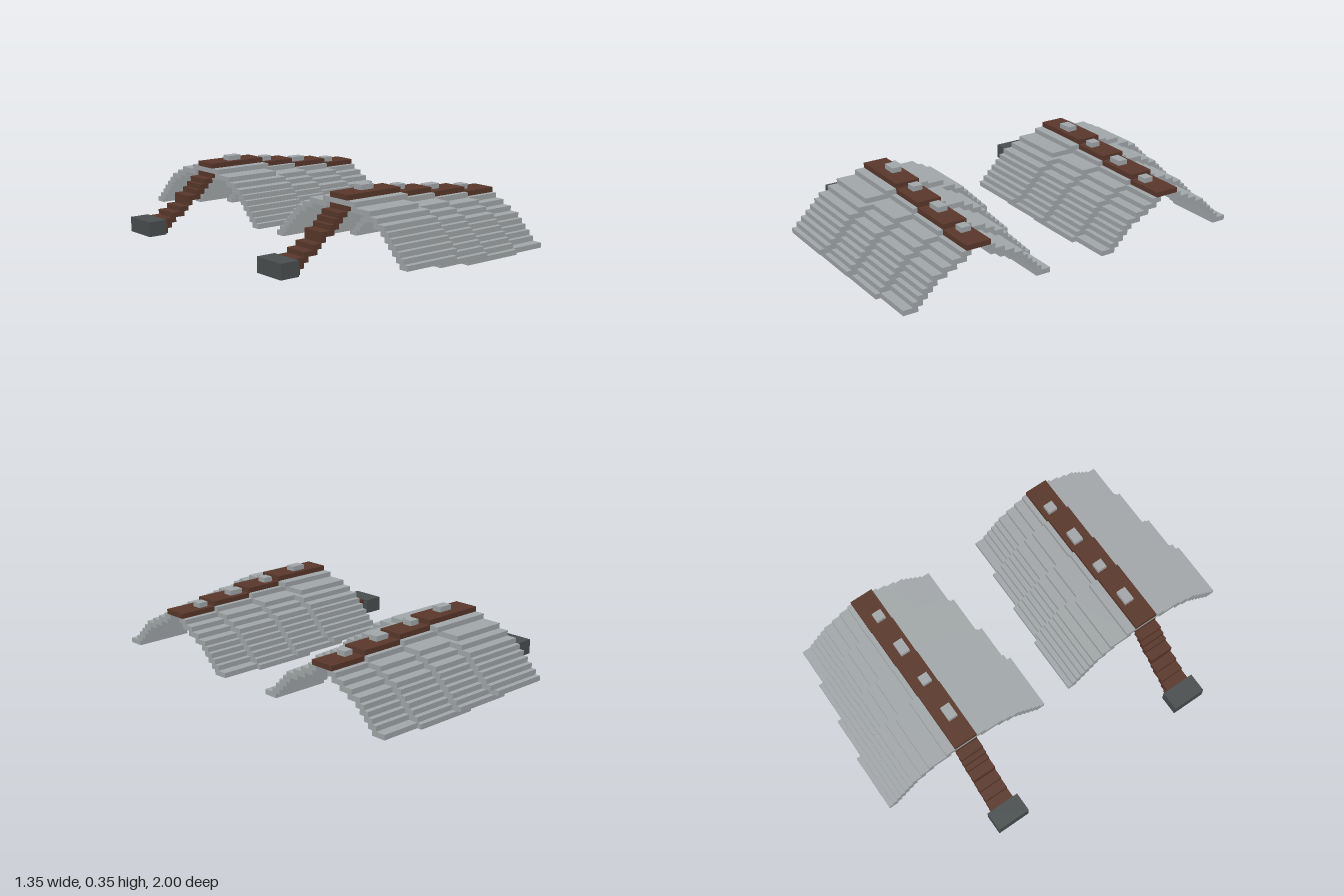
import * as THREE from 'three';

const V = 0.025; // height of one plate layer

const grey = new THREE.MeshStandardMaterial({ color: 0xa3a8aa });
grey.name = 'light grey';
const brown = new THREE.MeshStandardMaterial({ color: 0x5a382b });
brown.name = 'dark brown';
const dark = new THREE.MeshStandardMaterial({ color: 0x4a4f50 });
dark.name = 'dark grey';

// Box given by its limits on each axis
function slab(name, mat, x0, x1, y0, y1, z0, z1) {
  const mesh = new THREE.Mesh(new THREE.BoxGeometry(x1 - x0, y1 - y0, z1 - z0), mat);
  mesh.position.set((x0 + x1) / 2, (y0 + y1) / 2, (z0 + z1) / 2);
  mesh.name = name;
  return mesh;
}

// Outer edge of each stepped course, from layer 2 (eave) up to layer 11 (ridge)
const OUTER = [18.5, 17.5, 16.5, 15.5, 14.5, 13.5, 12.5, 10.5, 8.5, 4.5];

// Overlapping sections: each sits one layer lower and narrower than the last
const SECTIONS = [
  { start: -0.275, ridge: -0.275, end: 0.05, stud: [-0.15, -0.075] },
  { start: -0.05, ridge: 0.05, end: 0.25, stud: [0.075, 0.125] },
  { start: 0.15, ridge: 0.25, end: 0.475, stud: [0.275, 0.35] },
  { start: 0.375, ridge: 0.475, end: 0.675, stud: [0.5, 0.55] },
];

// Steps of the sloping arm: layer, x from, x to
const STEPS = [
  [0, -0.575, -0.55], [1, -0.55, -0.525], [2, -0.575, -0.5], [3, -0.525, -0.45],
  [4, -0.475, -0.425], [5, -0.425, -0.4], [6, -0.425, -0.35], [7, -0.375, -0.325],
  [8, -0.35, -0.3], [9, -0.325, -0.275], [10, -0.275, -0.25],
];

function makeSection(s, k, studZ) {
  const group = new THREE.Group();
  group.name = 'archSection';
  const edge = (i) => (i === 9 ? Math.max(OUTER[i] - k, 3.5) : OUTER[i] - k);

  // Stepped courses on both slopes
  OUTER.forEach((_, i) => {
    const layer = Math.max(i + 2 - k, 0);
    const outer = edge(i) * V;
    const inner = (i === 9 ? 1.5 : edge(i + 1) - 1) * V;
    const end = k === 0 && (i === 0 || i === 8) ? s.end - V : s.end;
    for (const side of [-1, 1]) {
      const a = side * inner, b = side * outer;
      group.add(slab('slopeCourse', grey, s.start, end, layer * V, (layer + 1) * V,
        Math.min(a, b), Math.max(a, b)));
    }
  });

  // Plate closing the crown, cut short on the last section
  const top = 12 - k;
  group.add(slab('crownPlate', grey, s.start, k === 3 ? 0.575 : s.end,
    (top - 1) * V, top * V, -1.5 * V, 1.5 * V));

  // Ridge and the stud on it
  group.add(slab('ridge', brown, s.ridge, s.end, top * V, (top + 1) * V, -2.5 * V, 2.5 * V));
  group.add(slab('ridgeStud', grey, s.stud[0], s.stud[1], (top + 1) * V, (top + 2) * V,
    studZ - V, studZ + V));
  return group;
}

function makeWing(side) {
  const wing = new THREE.Group();
  wing.name = side > 0 ? 'frontArch' : 'rearArch';
  wing.position.z = side * 0.5375;
  SECTIONS.forEach((s, k) => wing.add(makeSection(s, k, -side * V / 2)));

  // Stepped arm and its end block
  for (const [layer, x0, x1] of STEPS) {
    wing.add(slab('armStep', brown, x0, x1, layer * V, (layer + 1) * V, -2.5 * V, 2.5 * V));
  }
  wing.add(slab('endBlock', dark, -0.675, -0.575, 0, 3 * V, -3.5 * V, 3.5 * V));
  return wing;
}

export function createModel() {
  const model = new THREE.Group();
  model.name = 'steppedArches';
  model.add(makeWing(1), makeWing(-1));
  return model;
}
